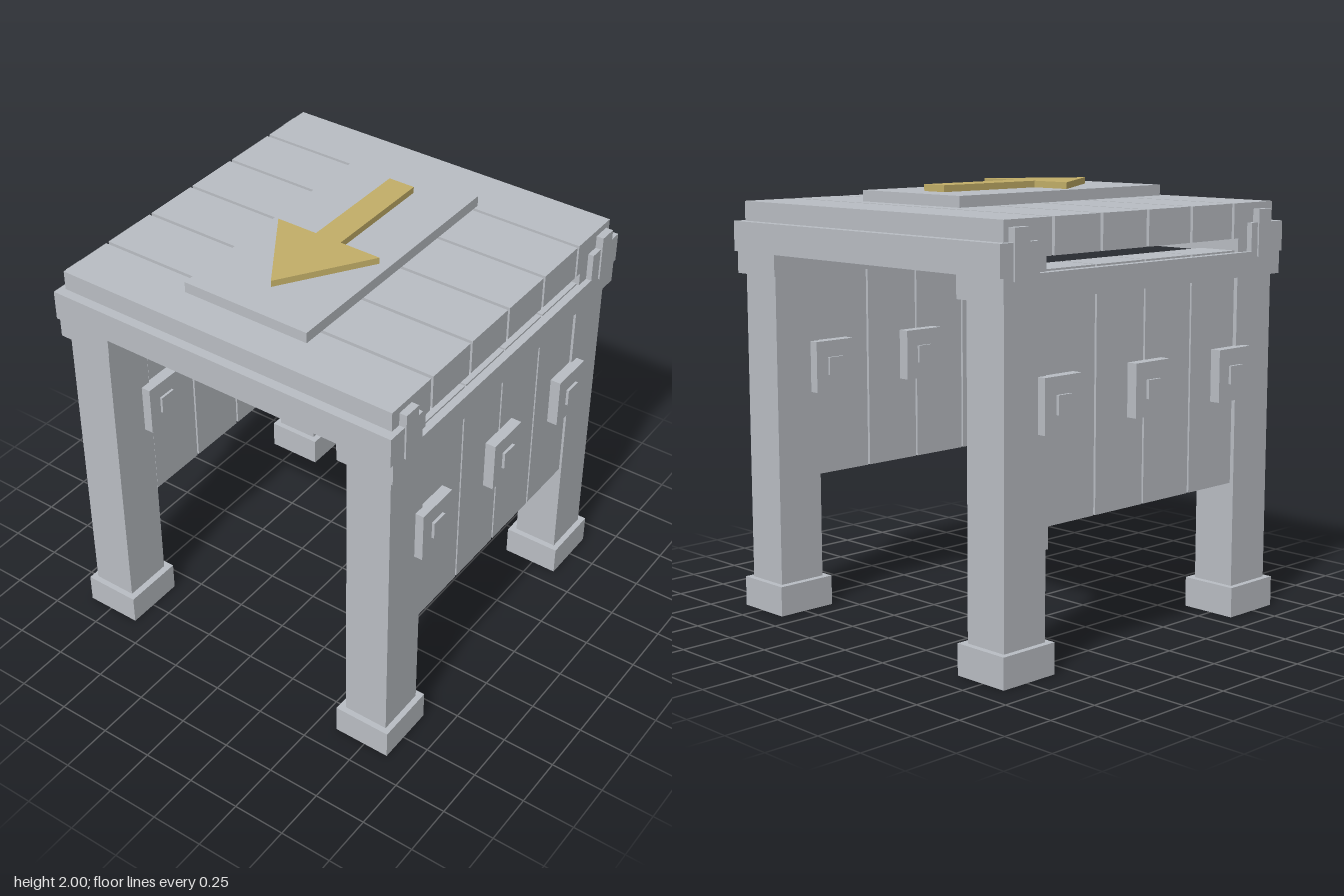
import * as THREE from 'three';

export function createModel() {
  const model = new THREE.Group();
  const grey = new THREE.MeshStandardMaterial({ color: 0xb9bdc3 });
  grey.name = 'pale grey';
  const gold = new THREE.MeshStandardMaterial({ color: 0xc2ae68 });
  gold.name = 'dull gold';

  // Box given by its limits on each axis
  function box(name, [x0, x1], [y0, y1], [z0, z1]) {
    const mesh = new THREE.Mesh(new THREE.BoxGeometry(x1 - x0, y1 - y0, z1 - z0), grey);
    mesh.position.set((x0 + x1) / 2, (y0 + y1) / 2, (z0 + z1) / 2);
    mesh.name = name;
    model.add(mesh);
  }
  // Limits measured outwards from the centre on one side
  const span = (s, a, b) => (s > 0 ? [a, b] : [-b, -a]);

  for (const sx of [1, -1]) {
    // Legs, feet and corner clips
    for (const sz of [1, -1]) {
      box('leg', span(sx, 0.63, 0.845), [0.14, 1.76], span(sz, 0.617, 0.857));
      box('foot', span(sx, 0.598, 0.872), [0, 0.14], span(sz, 0.588, 0.885));
      const clipZ = sz > 0 ? [0.722, 0.808] : [-0.83, -0.744];
      box('cornerClip', span(sx, 0.8, 0.88), [1.665, 1.88], clipZ);
    }
    // Side rail and upright boards
    box('sideRail', span(sx, 0.6, 0.872), [1.58, 1.69], [-0.885, 0.885]);
    for (const z of [0.457, 0.15, -0.157, -0.465]) {
      box('sideBoard', span(sx, 0.64, 0.835), [0.63, 1.698], [z - 0.148, z + 0.148]);
    }
    // Bolted plates showing on both faces of the boards
    for (const z of [0.56, 0, -0.555]) {
      box('boltPlate', span(sx, 0.585, 0.885), [1.027, 1.265], [z - 0.108, z + 0.108]);
      box('bolt', span(sx, 0.573, 0.898), [1.105, 1.188], [z - 0.041, z + 0.041]);
    }
  }

  // End beams
  for (const sz of [1, -1]) {
    box('endBeam', [-0.872, 0.872], [1.682, 1.82], span(sz, 0.68, 0.903));
  }

  // Top planks
  for (let i = 0; i < 6; i++) {
    const z = 0.722 - i * 0.2888;
    box('topPlank', [-0.845, 0.845], [1.752, 1.91], [z - 0.136, z + 0.136]);
  }
  box('signBoard', [-0.315, 0.315], [1.92, 1.97], [-0.6, 0.69]);

  // Arrow pointing to the front
  const outline = [
    [0.065, -0.457], [-0.065, -0.457], [-0.065, 0.105], [-0.267, 0.105],
    [0, 0.51], [0.267, 0.105], [0.065, 0.105],
  ].map(([x, z]) => new THREE.Vector2(x, -z));
  const arrowShape = new THREE.ExtrudeGeometry(new THREE.Shape(outline), { depth: 0.03, bevelEnabled: false });
  arrowShape.rotateX(-Math.PI / 2);
  const arrow = new THREE.Mesh(arrowShape, gold);
  arrow.position.y = 1.97;
  arrow.name = 'arrow';
  model.add(arrow);

  return model;
}
